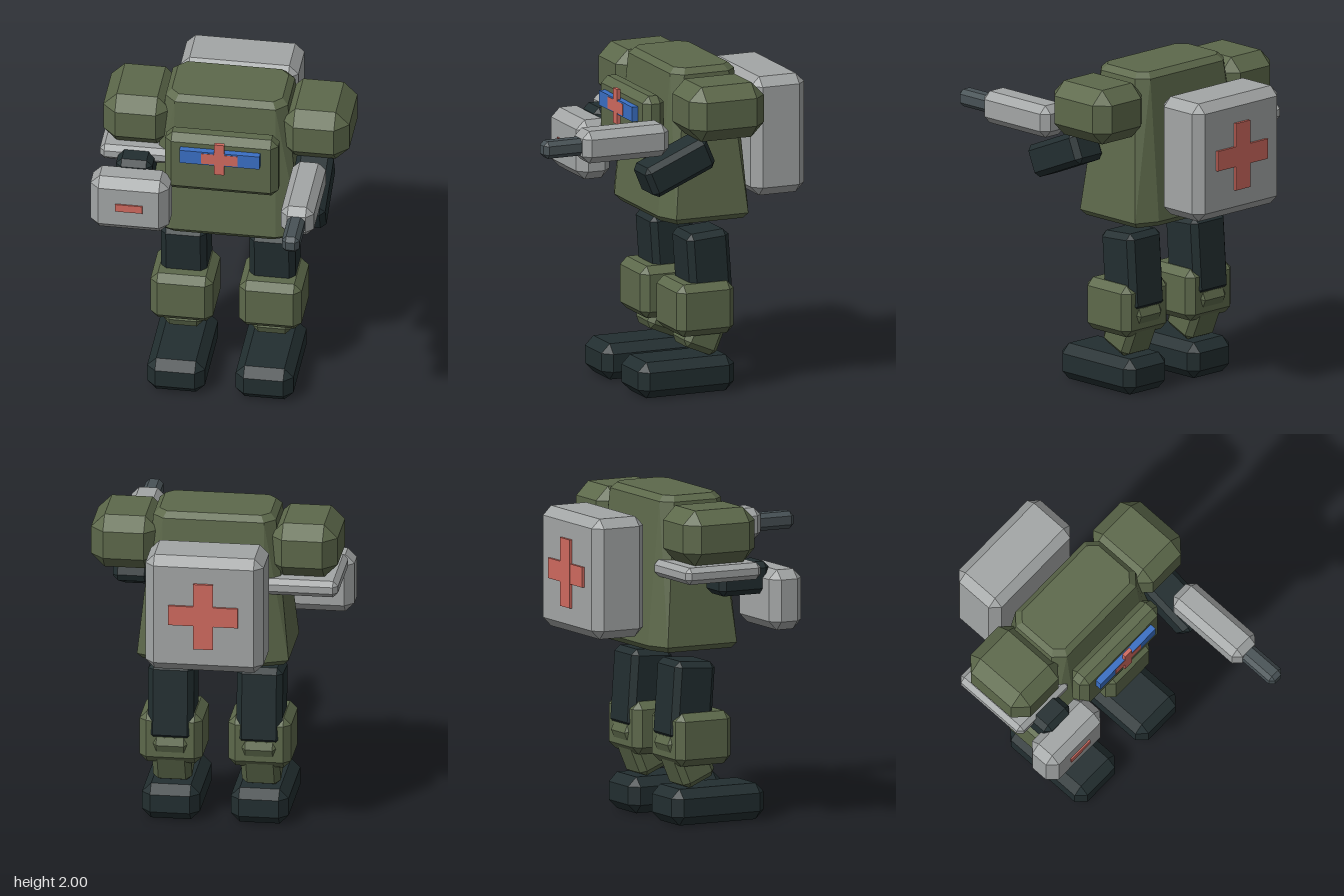
import * as THREE from 'three';
import { ConvexGeometry } from 'three/addons/geometries/ConvexGeometry.js';

const paint = (name, color) => {
  const m = new THREE.MeshStandardMaterial({ color });
  m.name = name;
  return m;
};

// Box with every edge cut at 45 degrees, centred on the origin
function chamferBox(w, h, d, c) {
  const pts = [];
  for (const x of [-w / 2, w / 2])
    for (const y of [-h / 2, h / 2])
      for (const z of [-d / 2, d / 2]) {
        const [a, b, e] = [x - Math.sign(x) * c, y - Math.sign(y) * c, z - Math.sign(z) * c];
        pts.push(new THREE.Vector3(x, b, e), new THREE.Vector3(a, y, e), new THREE.Vector3(a, b, z));
      }
  return new ConvexGeometry(pts);
}

// Solid through stacked rectangles with cut corners: [y, halfX, halfZ, cutX, cutZ, centreZ]
function taperedBlock(levels) {
  const pts = [];
  for (const [y, hx, hz, cx, cz, oz] of levels)
    for (const sx of [-1, 1])
      for (const sz of [-1, 1])
        pts.push(
          new THREE.Vector3(sx * hx, y, oz + sz * (hz - cz)),
          new THREE.Vector3(sx * (hx - cx), y, oz + sz * hz)
        );
  return new ConvexGeometry(pts);
}

export function createModel() {
  const model = new THREE.Group();
  model.name = 'medicRobot';

  const green = paint('olive green', 0x5d694b);
  const grey = paint('light grey', 0xa3a6a6);
  const dark = paint('dark slate', 0x222e30);
  const steel = paint('gun steel', 0x485256);
  const red = paint('cross red', 0xd06a5f);
  const blue = paint('visor blue', 0x3a6fc4);

  const add = (name, geometry, material, x = 0, y = 0, z = 0, tilt = 0) => {
    const mesh = new THREE.Mesh(geometry, material);
    mesh.name = name;
    mesh.position.set(x, y, z);
    mesh.rotation.x = tilt;
    model.add(mesh);
    return mesh;
  };
  // Chamfered or plain box given by its limits on each axis
  const block = (name, material, [x0, x1], [y0, y1], [z0, z1], c = 0) => {
    const size = [x1 - x0, y1 - y0, z1 - z0];
    const geometry = c ? chamferBox(...size, c) : new THREE.BoxGeometry(...size);
    return add(name, geometry, material, (x0 + x1) / 2, (y0 + y1) / 2, (z0 + z1) / 2);
  };

  const mid = 0.012; // the body sits slightly to the left of the origin

  // Torso, wider at the hem
  add('torso', taperedBlock([
    [1.065, 0.425, 0.265, 0.13, 0.05, -0.23],
    [1.1, 0.458, 0.296, 0.14, 0.06, -0.23],
    [1.965, 0.37, 0.21, 0.065, 0.065, -0.23],
    [2.0, 0.335, 0.175, 0.05, 0.05, -0.23],
  ]), green, mid);

  // Chest plate with visor bar and cross
  block('chestPlate', green, [-0.33, 0.355], [1.44, 1.84], [0.02, 0.16], 0.042);
  block('visorBar', blue, [-0.232, 0.253], [1.677, 1.767], [0.15, 0.2]);
  block('chestCrossBar', red, [-0.1, 0.12], [1.685, 1.757], [0.18, 0.202]);
  block('chestCrossPost', red, [-0.02, 0.04], [1.615, 1.83], [0.18, 0.204]);

  // Backpack with cross
  block('backpack', grey, [-0.347, 0.367], [1.16, 1.89], [-0.902, -0.552], 0.055);
  block('backCrossBar', red, [-0.2, 0.22], [1.467, 1.59], [-0.918, -0.89]);
  block('backCrossPost', red, [-0.05, 0.07], [1.32, 1.735], [-0.92, -0.89]);

  for (const s of [-1, 1]) {
    const side = s > 0 ? 'left' : 'right';

    // Shoulder
    add(side + 'Shoulder', chamferBox(0.41, 0.335, 0.49, 0.082), green, mid + s * 0.54, 1.787, -0.23);

    // Leg: thigh, knee guard, slanted calf, foot
    const x = mid + s * 0.268;
    add(side + 'Thigh', chamferBox(0.278, 0.48, 0.275, 0.035), dark, x, 0.75, -0.25, 0.07);
    add(side + 'KneeGuard', chamferBox(0.38, 0.32, 0.375, 0.045), green, x, 0.525, -0.202);
    add(side + 'Calf', chamferBox(0.235, 0.34, 0.23, 0.035), green, x, 0.41, -0.25, -0.4);
    add(side + 'Foot', chamferBox(0.35, 0.22, 0.63, 0.055), dark, x, 0.115, -0.088);
  }

  // Right arm: elbow slab, forearm and carried case
  block('elbowSlab', grey, [-0.745, -0.3], [1.52, 1.622], [-0.495, 0.02], 0.03);
  block('rightForearm', dark, [-0.63, -0.41], [1.41, 1.605], [-0.2, 0.14], 0.035);
  block('medicCase', grey, [-0.763, -0.287], [1.2, 1.565], [0.08, 0.3], 0.055);
  block('caseStripe', red, [-0.605, -0.44], [1.358, 1.408], [0.29, 0.309]);

  // Left arm: lowered forearm and gun
  add('leftForearm', chamferBox(0.225, 0.2, 0.44, 0.032), dark, 0.547, 1.46, 0.055, 0.4);
  block('gunBody', grey, [0.45, 0.65], [1.54, 1.737], [0.12, 0.685], 0.045);
  block('gunBarrel', steel, [0.495, 0.602], [1.587, 1.692], [0.65, 0.925], 0.026);

  return model;
}
